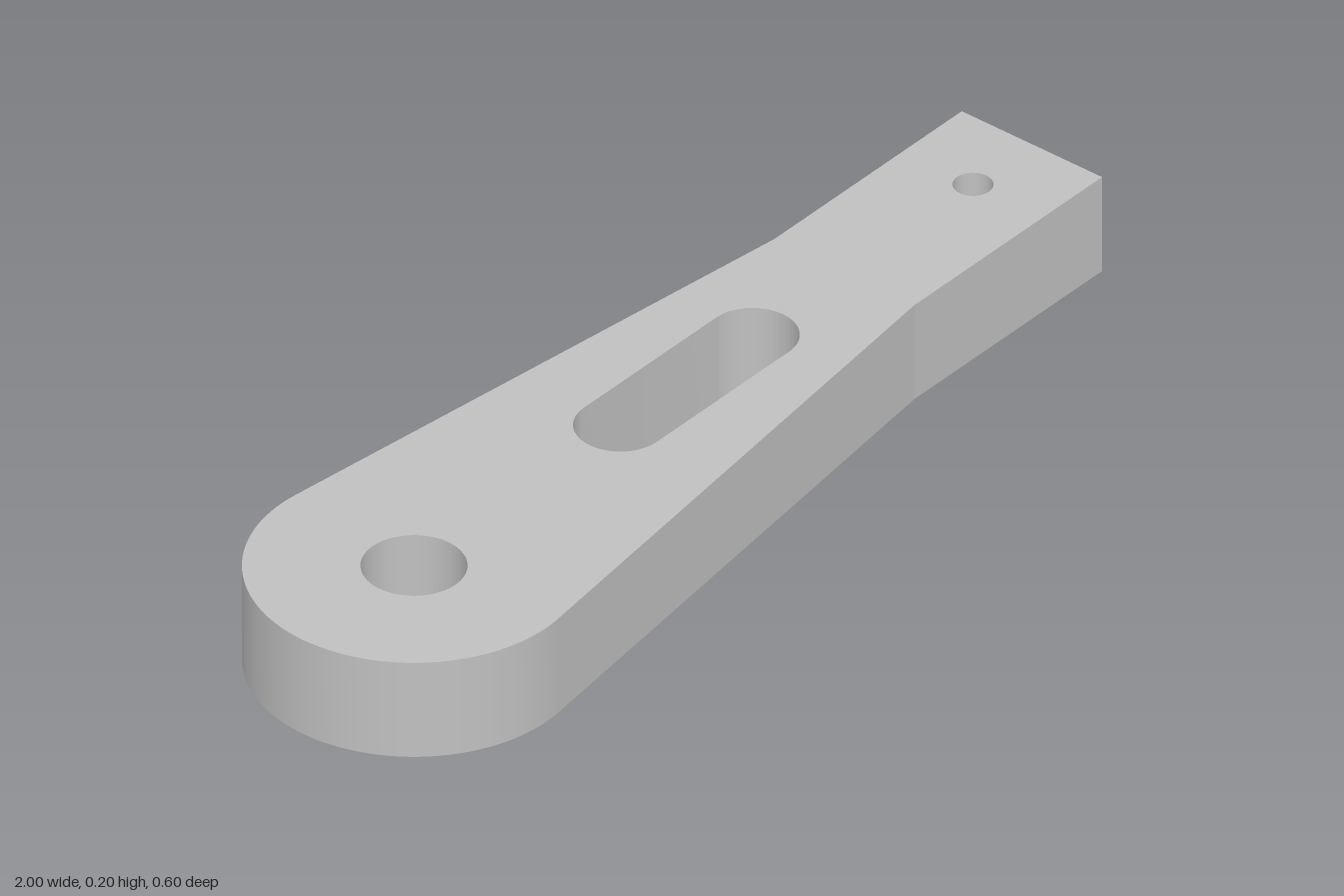
import * as THREE from 'three';
import { toCreasedNormals } from 'three/addons/utils/BufferGeometryUtils.js';

const THICKNESS = 0.2;
const HEAD = { x: -0.698, r: 0.302 };   // rounded end
const NECK = { x: 0.485, halfWidth: 0.16 }; // where the taper meets the straight shank

// Straight slot with rounded ends; equal ends give a round hole
function slotHole(x0, x1, r) {
  const path = new THREE.Path();
  if (x0 === x1) return path.absarc(x0, 0, r, 0, Math.PI * 2, true);
  path.absarc(x1, 0, r, Math.PI / 2, -Math.PI / 2, true);
  path.absarc(x0, 0, r, -Math.PI / 2, -Math.PI * 1.5, true);
  path.closePath();
  return path;
}

export function createModel() {
  const group = new THREE.Group();
  group.name = 'leverArm';
  const grey = new THREE.MeshStandardMaterial({ color: 0xc0c0c0 });
  grey.name = 'plain grey';

  // Outline: round head, tangent tapers, parallel shank
  const dx = NECK.x - HEAD.x;
  const tangent = Math.atan2(NECK.halfWidth, dx) + Math.acos(HEAD.r / Math.hypot(dx, NECK.halfWidth));
  const outline = new THREE.Shape();
  outline.moveTo(1, -NECK.halfWidth);
  outline.lineTo(1, NECK.halfWidth);
  outline.lineTo(NECK.x, NECK.halfWidth);
  outline.absarc(HEAD.x, 0, HEAD.r, tangent, Math.PI * 2 - tangent, false);
  outline.lineTo(NECK.x, -NECK.halfWidth);
  outline.closePath();

  // Pivot hole, long slot and small pin hole
  outline.holes.push(
    slotHole(HEAD.x, HEAD.x, 0.094),
    slotHole(-0.131, 0.232, 0.083),
    slotHole(0.838, 0.838, 0.036)
  );

  let geometry = new THREE.ExtrudeGeometry(outline, { depth: THICKNESS, bevelEnabled: false, curveSegments: 96 });
  geometry.rotateX(-Math.PI / 2);
  geometry = toCreasedNormals(geometry, 0.09);

  const arm = new THREE.Mesh(geometry, grey);
  arm.name = 'armPlate';
  group.add(arm);
  return group;
}
